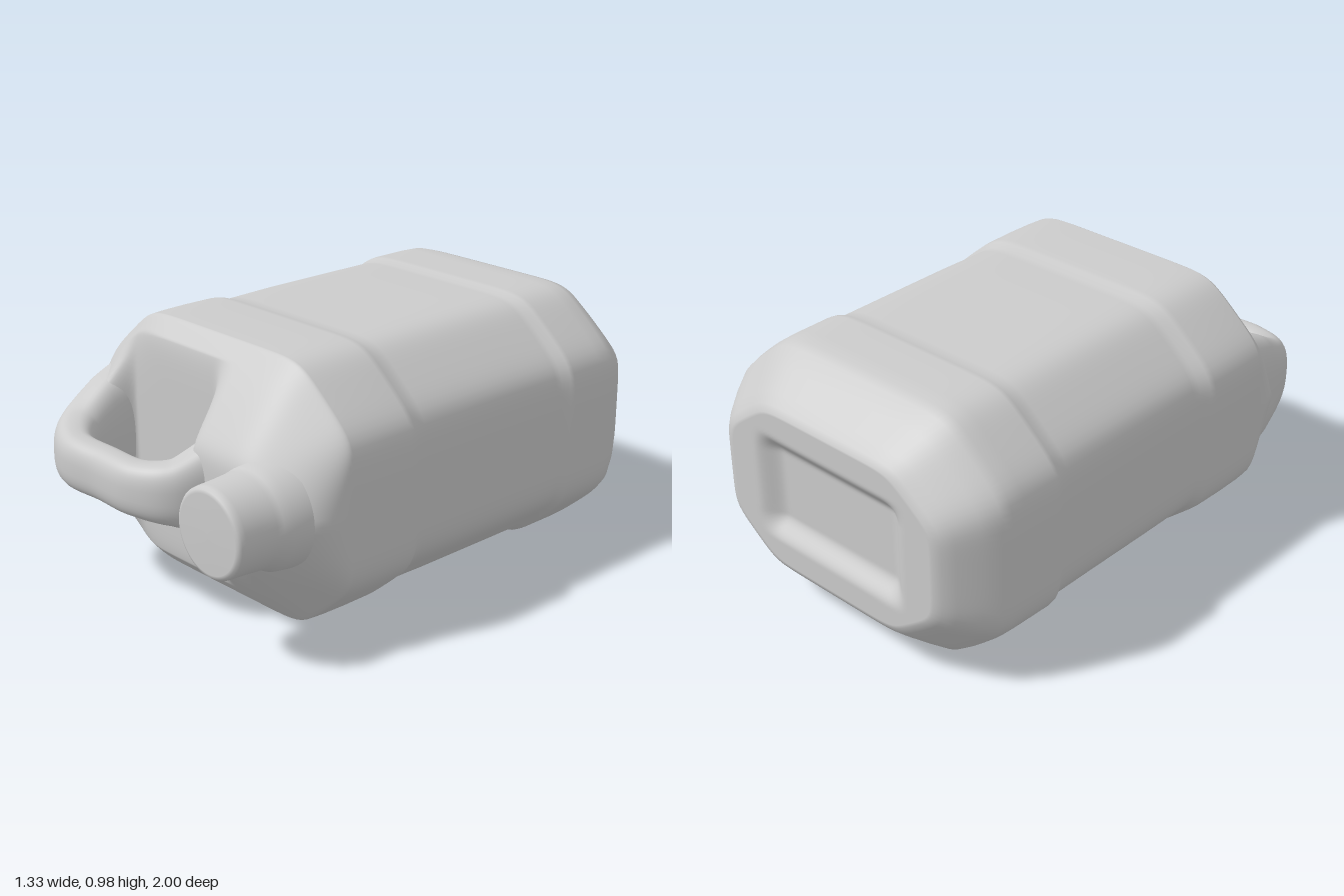
import * as THREE from 'three';

const CY = 0.49; // height of the jug's long axis
const SEG = 160;
const material = new THREE.MeshStandardMaterial({ color: 0xcccccc });
const step = THREE.MathUtils.smoothstep;

// Skin a list of equal-length closed rings, counter-clockwise about the direction of travel
function loft(rings, name) {
  const n = rings[0].length, pos = [], index = [];
  rings.forEach(ring => ring.forEach(p => pos.push(p.x, p.y, p.z)));
  for (let i = 0; i < rings.length - 1; i++) {
    for (let j = 0; j < n; j++) {
      const k = (j + 1) % n;
      const a = i * n + j, b = i * n + k, c = (i + 1) * n + k, d = (i + 1) * n + j;
      index.push(a, b, c, a, c, d);
    }
  }
  const g = new THREE.BufferGeometry();
  g.setAttribute('position', new THREE.Float32BufferAttribute(pos, 3));
  g.setIndex(index);
  g.computeVertexNormals();
  const mesh = new THREE.Mesh(g, material);
  mesh.name = name;
  return mesh;
}

// Octagon with soft corners, scaled by s; z is a rule of (x, height above axis)
function octagon(hx, hy, s, z) {
  const ring = [], p = 24;
  for (let j = 0; j < SEG; j++) {
    const a = (j / SEG) * Math.PI * 2;
    const u = Math.abs(Math.cos(a)) / hx, v = Math.abs(Math.sin(a)) / hy;
    const r = s * Math.pow(u ** p + v ** p + (0.682 * u + 0.586 * v) ** p, -1 / p);
    const x = r * Math.cos(a), y = r * Math.sin(a);
    ring.push(new THREE.Vector3(x, CY + y, z(x, y)));
  }
  return ring;
}

// Sloping shoulder: blend of a flat top, two roof slopes and the corner slopes
function shoulder(x, y) {
  const ax = Math.abs(x), ay = Math.abs(y), k = 0.015;
  const planes = [
    0.81,
    0.58 + 0.73 * (0.485 - ay),
    0.59 + 0.9 * (1 - 1.033 * ax - 1.22 * ay) / 1.6,
  ];
  const h = -k * Math.log(planes.reduce((sum, v) => sum + Math.exp(-v / k), 0));
  // finger hollow under the handle
  const hollow = step(x, -0.51, -0.42) * (1 - step(x, 0.03, 0.14));
  return THREE.MathUtils.lerp(h, Math.min(h, 0.625), hollow);
}

function makeBody() {
  const rings = [];
  // base with a shallow rectangular recess
  const base = (x, y) => -1 + 0.05 * (1 - step(Math.abs(x), 0.27, 0.37)) * (1 - step(Math.abs(y), 0.13, 0.22));
  for (let i = 0; i <= 36; i++) rings.push(octagon(0.5, 0.315, i / 36, base));

  // side walls: [z, half width, half height], with the waist between two raised bands
  const profile = [
    [-0.985, 0.528, 0.337], [-0.95, 0.56, 0.368], [-0.88, 0.609, 0.425], [-0.82, 0.642, 0.472],
    [-0.78, 0.652, 0.484], [-0.72, 0.654, 0.487], [-0.57, 0.658, 0.486], [-0.55, 0.655, 0.484],
    [-0.52, 0.638, 0.474], [-0.49, 0.636, 0.476], [-0.3, 0.634, 0.478], [0, 0.634, 0.479],
    [0.19, 0.635, 0.475], [0.225, 0.638, 0.474], [0.26, 0.658, 0.485], [0.285, 0.662, 0.488],
    [0.4, 0.664, 0.489], [0.5, 0.663, 0.488],
  ];
  for (const [z, hx, hy] of profile) rings.push(octagon(hx, hy, 1, () => z));

  // shoulder, rolling over a soft rim towards the middle
  const rows = 80, rim = 0.55;
  for (let i = 0; i <= rows; i++) {
    const s = Math.cos((i / rows) * Math.PI / 2);
    const roll = Math.sqrt(1 - s ** 10);
    rings.push(octagon(0.66, 0.486, s, (x, y) => rim + (shoulder(x, y) - rim) * roll));
  }
  return loft(rings, 'body');
}

function makeHandle() {
  // [x, z, half thickness, half height] from the left root over the grip to the right root
  const stations = [
    [-0.53, 0.52, 0.11, 0.3], [-0.528, 0.7, 0.098, 0.22], [-0.49, 0.84, 0.085, 0.135],
    [-0.38, 0.92, 0.07, 0.102], [-0.2, 0.925, 0.066, 0.098], [-0.02, 0.922, 0.066, 0.1],
    [0.085, 0.865, 0.074, 0.115], [0.135, 0.76, 0.085, 0.17], [0.17, 0.62, 0.11, 0.27],
  ];
  const path = new THREE.CatmullRomCurve3(stations.map(s => new THREE.Vector3(s[0], CY + 0.008, s[1])));
  const size = new THREE.CatmullRomCurve3(stations.map(s => new THREE.Vector3(s[2], s[3], 0)));
  const up = new THREE.Vector3(0, 1, 0), rings = [];
  for (let i = 0; i <= 80; i++) {
    const c = path.getPoint(i / 80), half = size.getPoint(i / 80);
    const side = new THREE.Vector3().crossVectors(up, path.getTangent(i / 80));
    const ring = [];
    for (let j = 0; j < 48; j++) {
      const a = (j / 48) * Math.PI * 2, ca = Math.cos(a), sa = Math.sin(a);
      const round = v => Math.sign(v) * Math.abs(v) ** 0.75;
      ring.push(c.clone().addScaledVector(side, round(ca) * half.x).addScaledVector(up, round(sa) * half.y));
    }
    rings.push(ring);
  }
  return loft(rings, 'handle');
}

function makeCap() {
  const profile = [
    [0.2, 0.7], [0.19, 0.775], [0.174, 0.805], [0.169, 0.83], [0.164, 0.9], [0.162, 0.955],
    [0.16, 0.972], [0.152, 0.982], [0.14, 0.986], [0, 0.987],
  ].map(([r, z]) => new THREE.Vector2(r, z));
  const cap = new THREE.Mesh(new THREE.LatheGeometry(profile, 64), material);
  cap.rotation.x = Math.PI / 2;
  cap.position.set(0.43, CY + 0.003, 0);
  cap.name = 'cap';
  return cap;
}

export function createModel() {
  const jug = new THREE.Group();
  jug.name = 'jug';
  jug.add(makeBody(), makeHandle(), makeCap());
  return jug;
}
